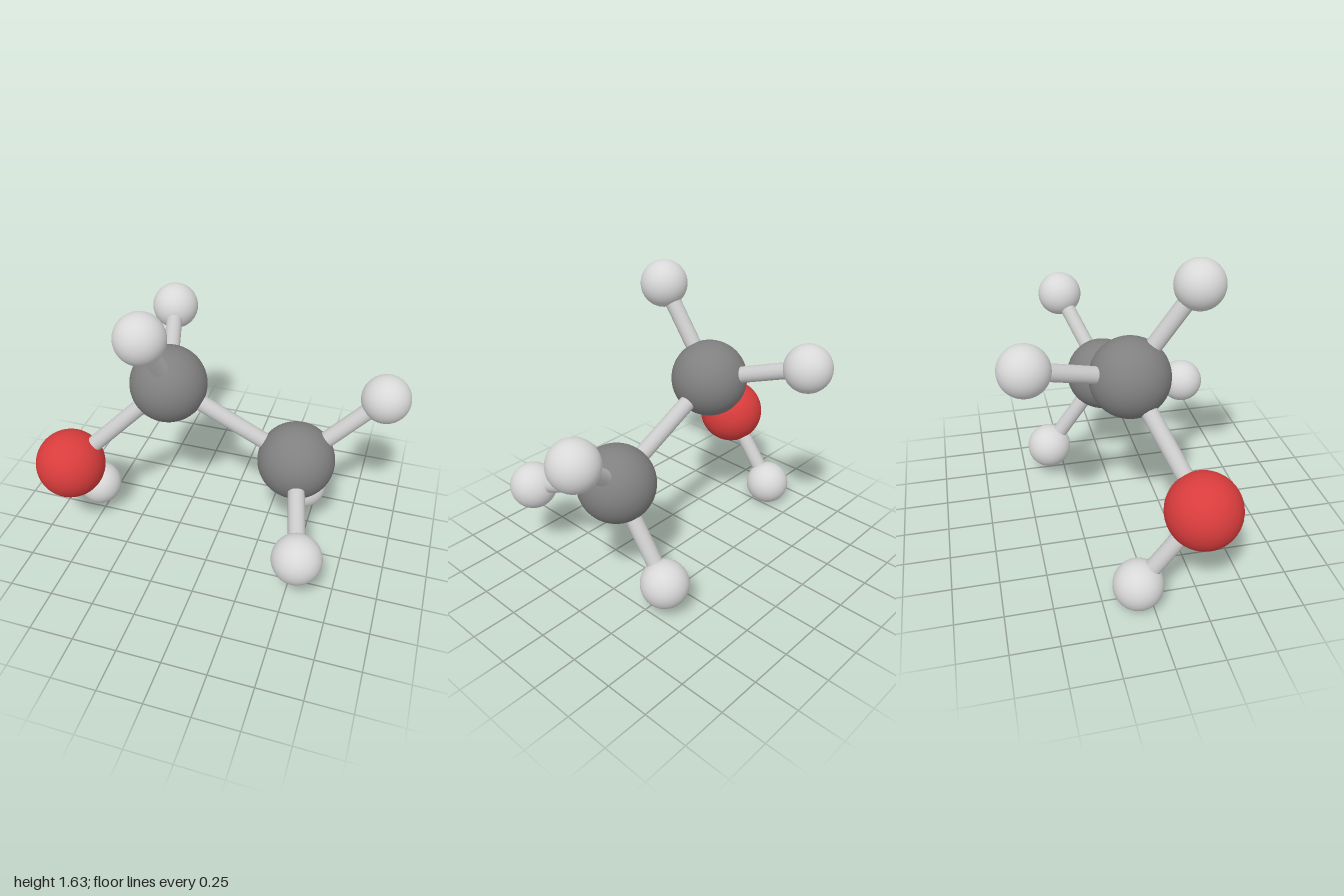
import * as THREE from 'three';

const mat = (name, color) => Object.assign(new THREE.MeshStandardMaterial({ color }), { name });

export function createModel() {
  const model = new THREE.Group();
  model.name = 'molecule';

  // Each kind of atom: colour and ball radius
  const kinds = {
    carbon: { material: mat('dark grey', 0x808080), radius: 0.212 },
    oxygen: { material: mat('red', 0xd93c3c), radius: 0.196 },
    hydrogen: { material: mat('pale grey', 0xd8d8d8), radius: 0.131 },
  };
  const bondMaterial = mat('bond grey', 0xcacaca);

  // Atoms: name, kind, centre
  const atoms = {
    carbonUpper: ['carbon', -0.283, 1.035, 0],
    carbonLower: ['carbon', 0.445, 0.676, 0],
    oxygen: ['oxygen', -0.804, 0.545, 0.25],
    hydrogenOxygen: ['hydrogen', -0.804, 0.134, -0.073],
    hydrogenTop: ['hydrogen', -0.283, 1.506, 0.346],
    hydrogenBack: ['hydrogen', -0.432, 1.209, -0.545],
    hydrogenLeft: ['hydrogen', 0.865, 1.046, -0.184],
    hydrogenFront: ['hydrogen', 0.582, 0.491, 0.545],
    hydrogenBottom: ['hydrogen', 0.445, 0.203, -0.344],
  };
  const centre = {};
  for (const [name, [kind, x, y, z]] of Object.entries(atoms)) {
    const { material, radius } = kinds[kind];
    const ball = new THREE.Mesh(new THREE.SphereGeometry(radius, 48, 32), material);
    ball.name = name;
    ball.position.set(x, y, z);
    centre[name] = ball.position;
    model.add(ball);
  }

  // Bonds: rods running between atom centres
  const up = new THREE.Vector3(0, 1, 0);
  const addBond = (from, to) => {
    const a = centre[from], b = centre[to];
    const span = b.clone().sub(a);
    const rod = new THREE.Mesh(new THREE.CylinderGeometry(0.045, 0.045, span.length(), 24), bondMaterial);
    rod.name = `bond ${from} to ${to}`;
    rod.position.copy(a).lerp(b, 0.5);
    rod.quaternion.setFromUnitVectors(up, span.normalize());
    model.add(rod);
  };
  for (const to of ['carbonLower', 'oxygen', 'hydrogenTop', 'hydrogenBack']) addBond('carbonUpper', to);
  for (const to of ['hydrogenLeft', 'hydrogenFront', 'hydrogenBottom']) addBond('carbonLower', to);
  addBond('oxygen', 'hydrogenOxygen');

  return model;
}
